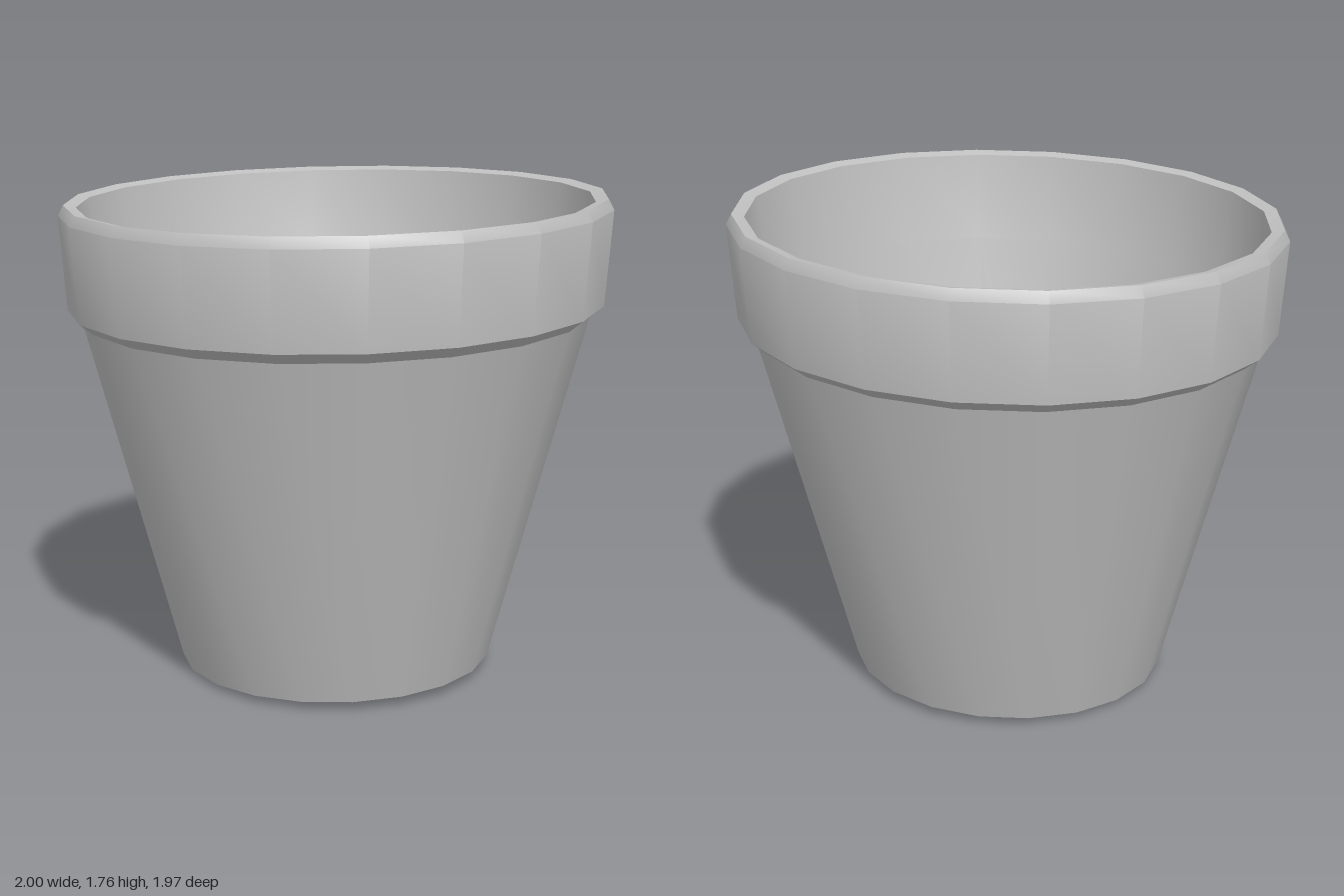
import * as THREE from 'three';
import { toCreasedNormals } from 'three/addons/utils/BufferGeometryUtils.js';

const SIDES = 20;

export function createModel() {
  const pot = new THREE.Group();
  pot.name = 'flowerPot';
  const clay = new THREE.MeshStandardMaterial({ color: 0xc0c0c0 });
  clay.name = 'grey clay';

  // Turn a profile of [radius, height] points, with the slight lean of a hand-made pot
  function turned(name, profile) {
    const points = profile.map(([r, y]) => new THREE.Vector2(r, y));
    const geometry = new THREE.LatheGeometry(points, SIDES);
    const pos = geometry.attributes.position;
    for (let i = 0; i < pos.count; i++) {
      const x = pos.getX(i), z = pos.getZ(i) * 0.985;
      pos.setXYZ(i, x, pos.getY(i) + 0.016 * x - 0.012 * z, z);
    }
    const mesh = new THREE.Mesh(toCreasedNormals(geometry, 0.6), clay);
    mesh.name = name;
    pot.add(mesh);
  }

  // Underside with the wall of the drainage hole
  turned('base', [[0.11, 0.09], [0.11, 0.02], [0.53, 0.01], [0.58, 0.03]]);
  // Tapered outer wall
  turned('outerWall', [[0.58, 0.03], [0.925, 1.32]]);
  // Thick collar, from its underside over the lip
  turned('rim', [[0.925, 1.32], [0.975, 1.36], [1.0, 1.7], [0.98, 1.738], [0.935, 1.728]]);
  // Inside wall and floor around the drainage hole
  turned('innerWall', [[0.935, 1.728], [0.89, 1.4], [0.52, 0.1]]);
  turned('floor', [[0.52, 0.1], [0.11, 0.09]]);

  return pot;
}
